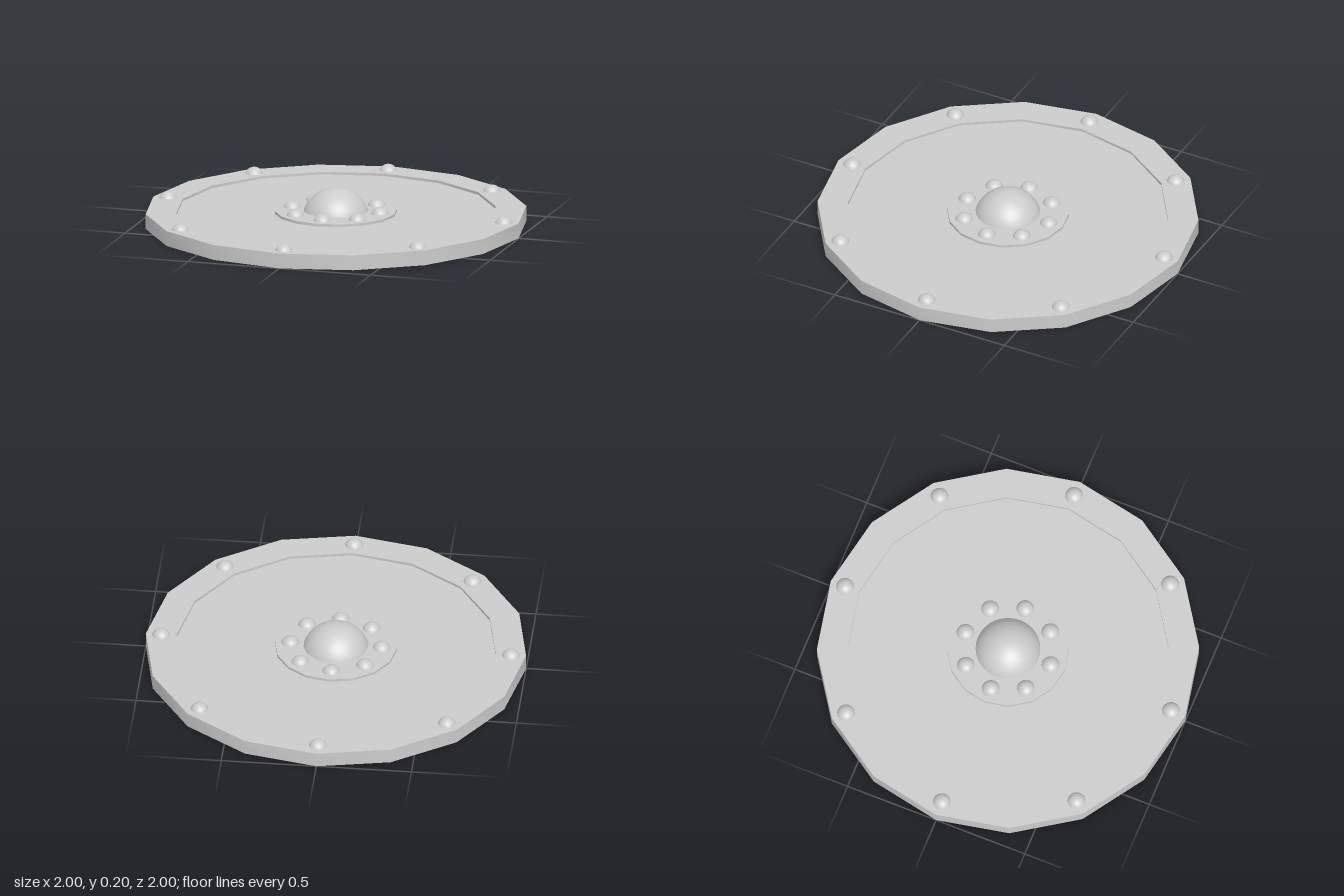
import * as THREE from 'three';
import { toCreasedNormals } from 'three/addons/utils/BufferGeometryUtils.js';

const SIDES = 16;
const material = new THREE.MeshStandardMaterial({ color: 0xcccccc });

function add(parent, name, geometry, x = 0, y = 0, z = 0) {
  const mesh = new THREE.Mesh(geometry, material);
  mesh.name = name;
  mesh.position.set(x, y, z);
  parent.add(mesh);
  return mesh;
}

// Flat disc between two heights
function disc(radius, bottom, top) {
  return new THREE.CylinderGeometry(radius, radius, top - bottom, SIDES).translate(0, (bottom + top) / 2, 0);
}

export function createModel() {
  const shield = new THREE.Group();
  shield.name = 'roundShield';

  // Outer rim: a square-section ring
  const section = [[0.84, 0], [1, 0], [1, 0.08], [0.84, 0.08], [0.84, 0]].map(([r, y]) => new THREE.Vector2(r, y));
  add(shield, 'rim', toCreasedNormals(new THREE.LatheGeometry(section, SIDES), Math.PI / 6));

  // Recessed panel and the raised plate at its middle
  add(shield, 'panel', disc(0.84, 0.01, 0.066));
  add(shield, 'centrePlate', disc(0.32, 0.05, 0.08));

  // Central boss
  add(shield, 'boss', new THREE.SphereGeometry(0.18, 32, 16, 0, Math.PI * 2, 0, Math.PI / 2), 0, 0.02, 0);

  // Two rings of eight studs
  const stud = new THREE.SphereGeometry(0.05, 24, 12, 0, Math.PI * 2, 0, Math.PI / 2);
  for (const [name, radius] of [['rimStud', 0.92], ['plateStud', 0.24]]) {
    const ring = new THREE.Group();
    ring.name = name + 's';
    for (let i = 0; i < 8; i++) {
      const a = (i * Math.PI) / 4;
      add(ring, name, stud, radius * Math.sin(a), 0.062, radius * Math.cos(a));
    }
    shield.add(ring);
  }
  return shield;
}
